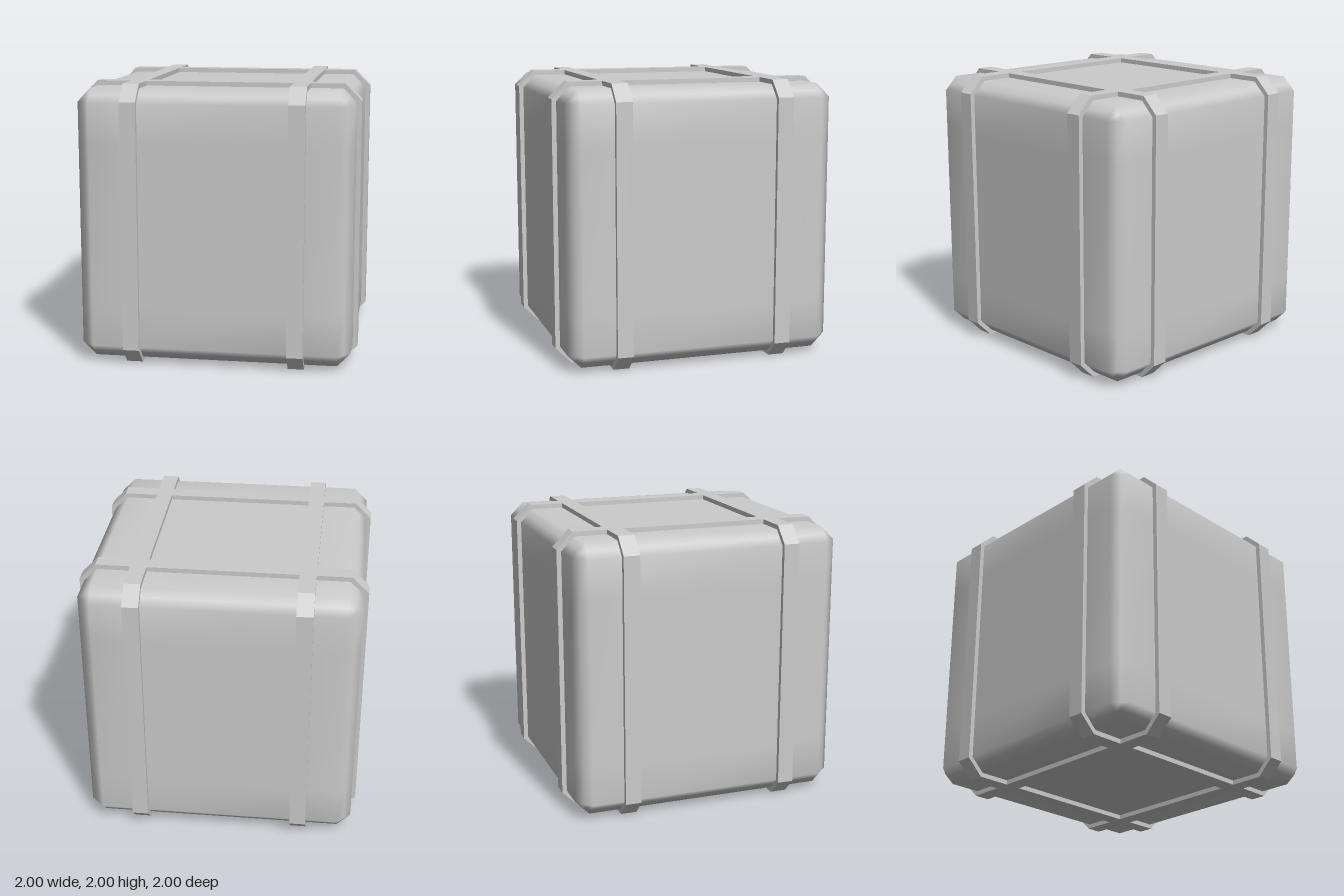
import * as THREE from 'three';
import { mergeVertices } from 'three/addons/utils/BufferGeometryUtils.js';

const material = new THREE.MeshStandardMaterial({ color: 0xcccccc });

// Box with chamfered edges and corners, shaded smooth
function chamferedBox(half, inner, strap) {
  const geometry = new THREE.BoxGeometry(5, 5, 5, 5, 5, 5);
  geometry.deleteAttribute('normal');
  geometry.deleteAttribute('uv');
  const levels = [-half, -inner, -strap, strap, inner, half];
  // Outer coordinate on a face, on an edge's midline, at a corner's centre
  const outer = [half, half, (half + inner) / 2, (half + 2 * inner) / 3];
  const pos = geometry.attributes.position;
  for (let i = 0; i < pos.count; i++) {
    const steps = [pos.getX(i), pos.getY(i), pos.getZ(i)].map((v) => Math.round(v + 2.5));
    const isOuter = (s) => s === 0 || s === 5;
    const reach = outer[steps.filter(isOuter).length];
    const p = steps.map((s) => (isOuter(s) ? Math.sign(levels[s]) * reach : levels[s]));
    pos.setXYZ(i, ...p);
  }
  const merged = mergeVertices(geometry);
  merged.computeVertexNormals();
  return merged;
}

// Corners of a square with cut corners
function octagon(h, cut) {
  const c = h - cut;
  return [[h, -c], [h, c], [c, h], [-c, h], [-h, c], [-h, -c], [-c, -h], [c, -h]]
    .map(([x, y]) => new THREE.Vector2(x, y));
}

// Flat octagonal band that wraps the crate
function strapGeometry(width) {
  const shape = new THREE.Shape(octagon(1, 0.117));
  shape.holes.push(new THREE.Path(octagon(0.92, 0.09).reverse()));
  const geometry = new THREE.ExtrudeGeometry(shape, { depth: width, bevelEnabled: false });
  return geometry.translate(0, 0, -width / 2);
}

export function createModel() {
  const model = new THREE.Group();
  model.name = 'crate';

  const body = new THREE.Mesh(chamferedBox(0.967, 0.87, 0.583), material);
  body.name = 'body';
  body.position.y = 1;
  model.add(body);

  // Two straps around each horizontal axis
  const strap = strapGeometry(0.115);
  for (const side of [-1, 1]) {
    const across = new THREE.Mesh(strap, material);
    across.name = side > 0 ? 'frontStrap' : 'backStrap';
    across.position.set(0, 1, side * 0.583);

    const along = new THREE.Mesh(strap, material);
    along.name = side > 0 ? 'leftStrap' : 'rightStrap';
    along.rotation.y = Math.PI / 2;
    along.position.set(side * 0.583, 1, 0);
    model.add(across, along);
  }
  return model;
}
